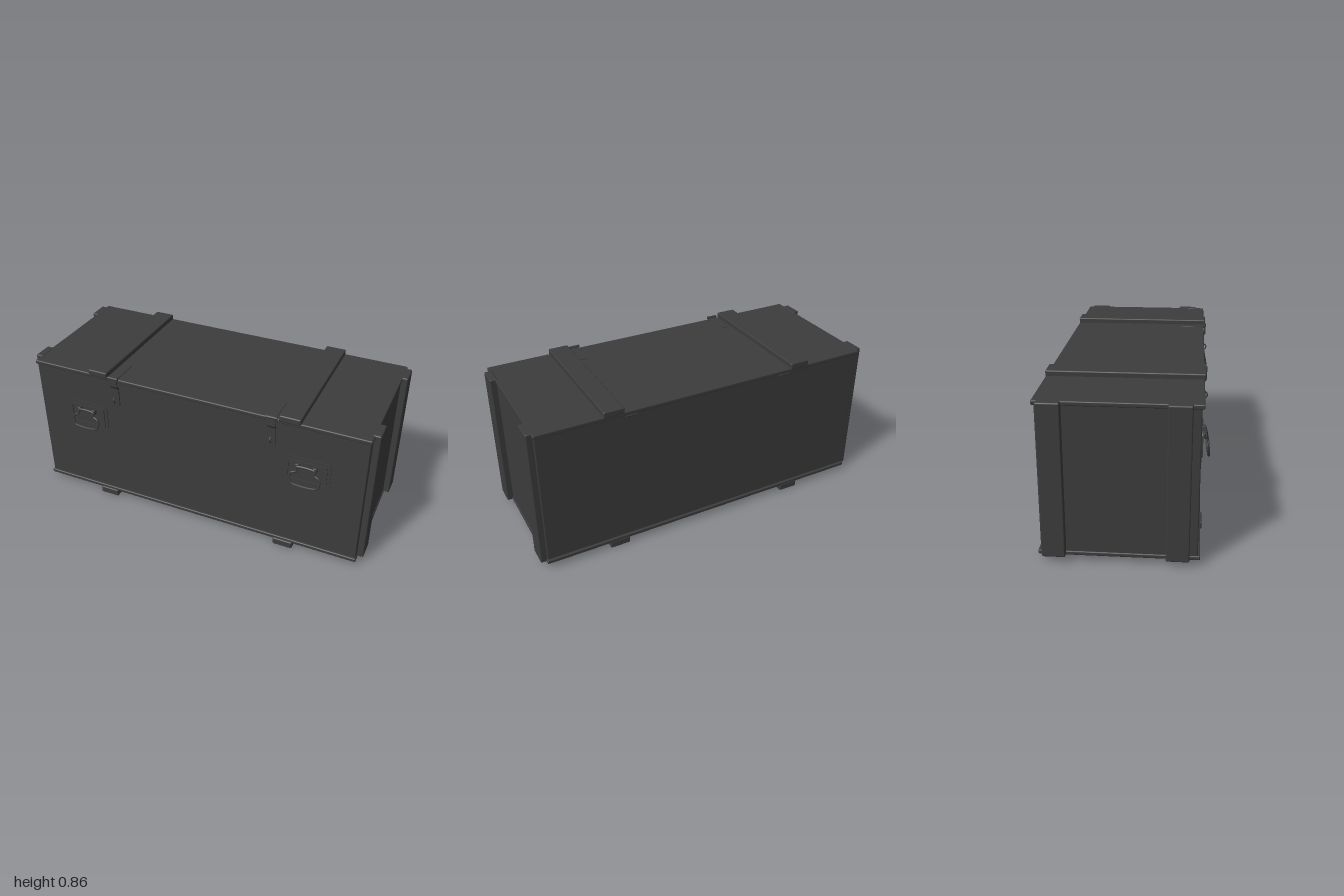
import * as THREE from 'three';
import { RoundedBoxGeometry } from 'three/addons/geometries/RoundedBoxGeometry.js';

const wood = new THREE.MeshStandardMaterial({ color: 0x3c3c3c });
const metal = new THREE.MeshStandardMaterial({ color: 0x3c3c3c });

function add(parent, name, geometry, material) {
  const mesh = new THREE.Mesh(geometry, material);
  mesh.name = name;
  parent.add(mesh);
  return mesh;
}

// Softened box given by its limits on each axis
function slab(parent, name, [x0, x1], [y0, y1], [z0, z1], r, material = wood) {
  const geometry = new RoundedBoxGeometry(x1 - x0, y1 - y0, z1 - z0, 2, r);
  geometry.translate((x0 + x1) / 2, (y0 + y1) / 2, (z0 + z1) / 2);
  return add(parent, name, geometry, material);
}

function roundedRect(path, w, h, r) {
  const x = w / 2, y = h / 2;
  path.moveTo(-x + r, -y);
  path.lineTo(x - r, -y);
  path.absarc(x - r, -y + r, r, -Math.PI / 2, 0);
  path.absarc(x - r, y - r, r, 0, Math.PI / 2);
  path.absarc(-x + r, y - r, r, Math.PI / 2, Math.PI);
  path.absarc(-x + r, -y + r, r, Math.PI, Math.PI * 1.5);
  return path;
}

// Recessed plate with a hanging bail handle; origin at the plate centre
function carryHandle() {
  const group = new THREE.Group();
  group.name = 'carryHandle';
  const plate = roundedRect(new THREE.Shape(), 0.26, 0.165, 0.025);
  add(group, 'handlePlate', new THREE.ExtrudeGeometry(plate, { depth: 0.006, bevelEnabled: false, curveSegments: 5 }), metal);
  const rim = roundedRect(new THREE.Shape(), 0.222, 0.13, 0.015);
  rim.holes.push(roundedRect(new THREE.Path(), 0.195, 0.105, 0.01));
  add(group, 'handleRim', new THREE.ExtrudeGeometry(rim, { depth: 0.012, bevelEnabled: false, curveSegments: 5 }), metal);

  // Bail leans outward towards its lower bar
  const outline = [[0.03, 0.04], [0.048, 0.035], [0.048, 0.012], [0.075, -0.003], [0.082, -0.025],
    [0.07, -0.06], [0.035, -0.068]];
  const points = [...outline, ...outline.map(([x, y]) => [-x, y]).reverse()]
    .map(([x, y]) => new THREE.Vector3(x, y, 0.024 - (y - 0.04) * 0.17));
  const bail = new THREE.CatmullRomCurve3(points, true, 'centripetal');
  add(group, 'bail', new THREE.TubeGeometry(bail, 72, 0.0065, 8, true), metal);
  for (const x of [-0.047, 0.047]) {
    slab(group, 'bailBracket', [x - 0.011, x + 0.011], [0.022, 0.05], [0.003, 0.025], 0.004, metal);
  }
  return group;
}

// Strap over the lid edge, hasp plate and staple; origin at the strap centre on x
function latch() {
  const group = new THREE.Group();
  group.name = 'latch';
  const w = 0.045;
  slab(group, 'latchStrap', [-w / 2, w / 2], [0.827, 0.836], [0.22, 0.386], 0.002, metal);

  // Bent hasp profile drawn in z and y, extruded across x
  const hasp = new THREE.Shape([[0.378, 0.842], [0.389, 0.842], [0.389, 0.787], [0.374, 0.77], [0.374, 0.66],
    [0.366, 0.66], [0.366, 0.775], [0.382, 0.791], [0.382, 0.832], [0.378, 0.832]]
    .map(([z, y]) => new THREE.Vector2(-z, y)));
  const geometry = new THREE.ExtrudeGeometry(hasp, { depth: w, bevelEnabled: false });
  geometry.rotateY(Math.PI / 2).translate(-w / 2, 0, 0);
  add(group, 'hasp', geometry, metal);
  const knuckle = new THREE.CylinderGeometry(0.008, 0.008, 0.06, 10).rotateZ(Math.PI / 2);
  add(group, 'hingeKnuckle', knuckle, metal).position.set(0, 0.838, 0.384);

  const staple = new THREE.TorusGeometry(0.018, 0.004, 8, 20).rotateY(Math.PI / 2);
  add(group, 'staple', staple, metal).position.set(0, 0.7, 0.377);
  return group;
}

export function createModel() {
  const crate = new THREE.Group();
  crate.name = 'woodenCrate';

  // Box body between a slightly wider lid and base
  slab(crate, 'body', [-0.965, 0.965], [0.04, 0.82], [-0.398, 0.366], 0.006);
  slab(crate, 'lid', [-0.97, 0.97], [0.809, 0.832], [-0.411, 0.378], 0.006);
  slab(crate, 'base', [-0.97, 0.97], [0.034, 0.056], [-0.411, 0.378], 0.006);

  for (const side of [-1, 1]) {
    // Battens across the lid and under the base
    const cross = [side * 0.555 - 0.057, side * 0.555 + 0.057];
    slab(crate, 'lidBatten', cross, [0.824, 0.86], [-0.413, 0.386], 0.007);
    slab(crate, 'baseBatten', cross, [0, 0.042], [-0.413, 0.386], 0.007);

    // Upright battens on each end
    const end = [side * 0.978 - 0.022, side * 0.978 + 0.022];
    slab(crate, 'endBattenFront', end, [0.037, 0.835], [0.213, 0.326], 0.007);
    slab(crate, 'endBattenBack', end, [0.037, 0.832], [-0.388, -0.273], 0.007);

    const handle = carryHandle();
    handle.position.set(side * 0.656, 0.542, 0.365);
    crate.add(handle);

    const clasp = latch();
    clasp.position.x = side * 0.458;
    crate.add(clasp);

    // Hinge barrels under the lid at the back
    const barrel = new THREE.CylinderGeometry(0.008, 0.008, 0.06, 10).rotateZ(Math.PI / 2);
    add(crate, 'backHinge', barrel, metal).position.set(side * 0.458, 0.804, -0.404);
  }
  return crate;
}
